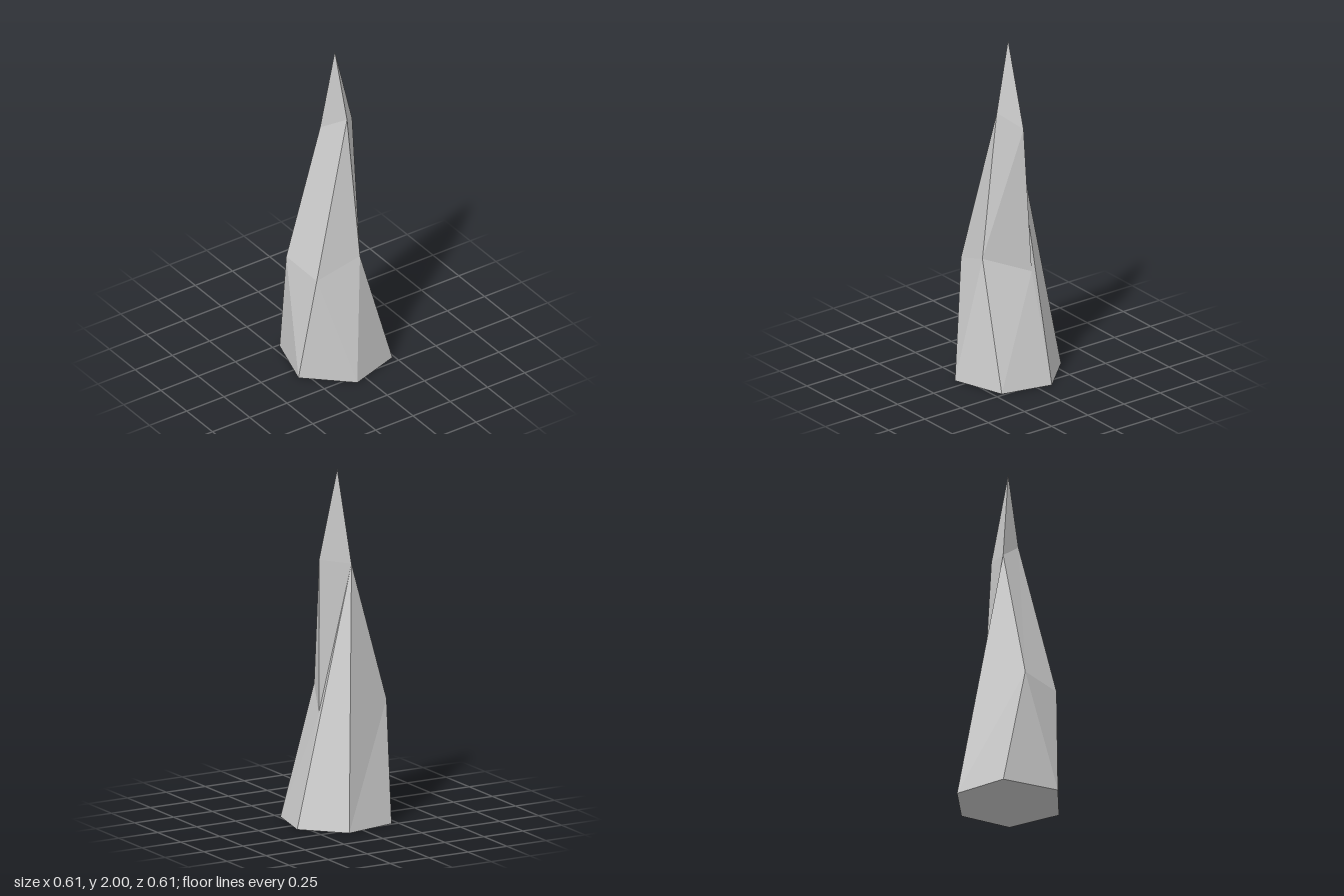
import * as THREE from 'three';

export function createModel() {
  const group = new THREE.Group();
  group.name = 'crystalSpike';

  // Corner points, from the six-sided foot up to the tip
  const p = {
    // foot
    A: [-0.305, 0, 0.08], B: [-0.065, 0, 0.304], C: [0.237, 0, 0.208],
    D: [0.305, 0, -0.087], E: [0.1, 0, -0.305], F: [-0.21, 0, -0.24],
    // waist
    G: [-0.225, 0.645, 0.142], H: [0.033, 0.74, 0.188],
    I: [0.152, 0.64, -0.063], J: [-0.252, 0.68, -0.115],
    // shoulder
    K: [-0.042, 1.47, -0.09], L: [0.021, 1.59, 0.08], M: [0.128, 1.5, -0.025],
    // tip
    T: [0.003, 2, -0.012],
  };

  // Facets, each counter-clockwise seen from outside
  const facets = [
    'ABG', 'BHG', 'BCH', 'CDIH', 'DEKI', 'EFJK', 'FAJ', 'AGJ', // lower body
    'JGLK', 'GHL', 'HML', 'HIM', 'IKM', // upper body
    'KLT', 'LMT', 'MKT', // point
    'FEDCBA', // underside
  ];

  const positions = [];
  for (const facet of facets) {
    for (let i = 1; i < facet.length - 1; i++) {
      positions.push(...p[facet[0]], ...p[facet[i]], ...p[facet[i + 1]]);
    }
  }
  const geometry = new THREE.BufferGeometry();
  geometry.setAttribute('position', new THREE.Float32BufferAttribute(positions, 3));
  geometry.computeVertexNormals();

  const spike = new THREE.Mesh(
    geometry,
    new THREE.MeshStandardMaterial({ color: 0xcccccc, flatShading: true })
  );
  spike.name = 'spike';
  group.add(spike);
  return group;
}
